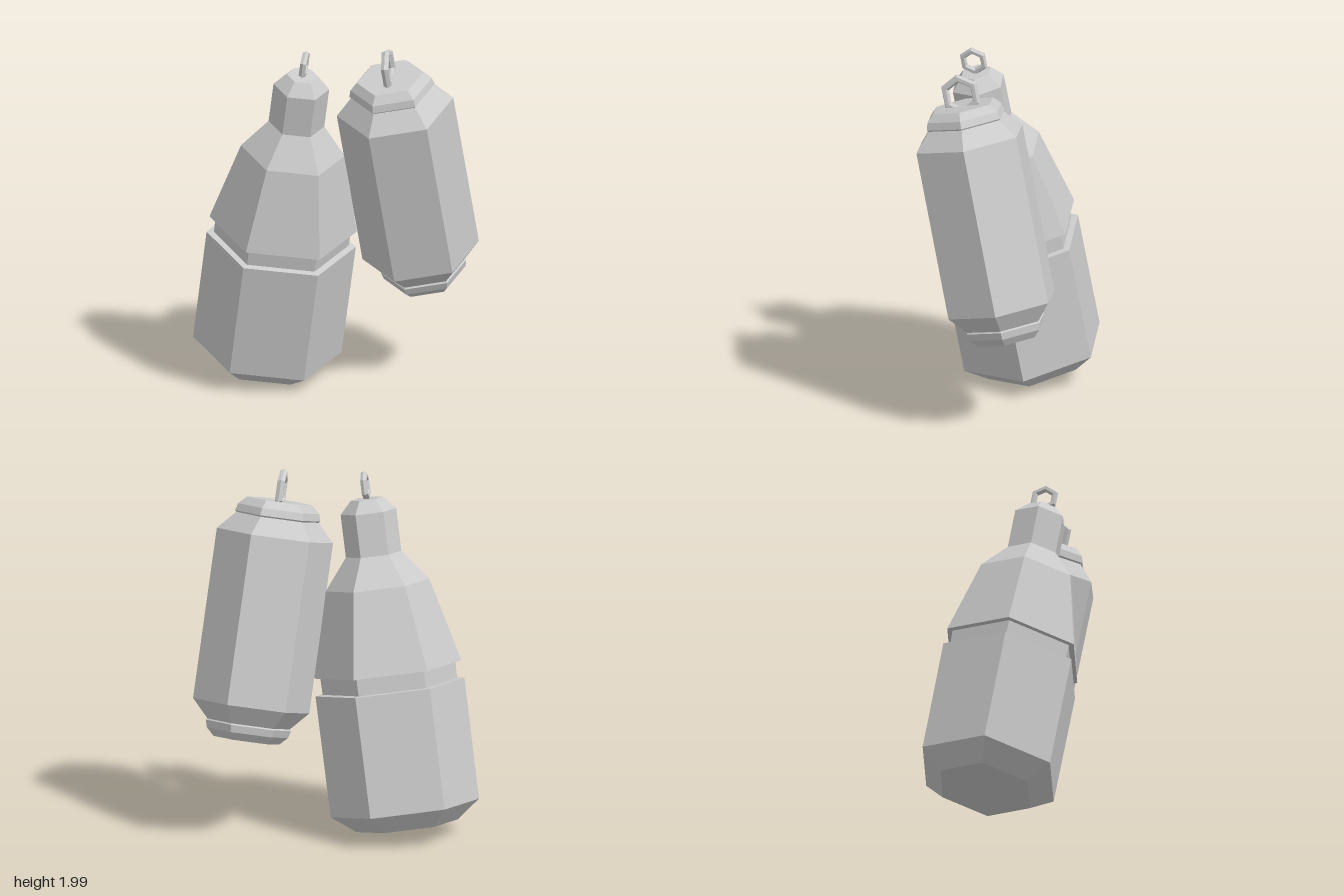
import * as THREE from 'three';

const material = new THREE.MeshStandardMaterial({ color: 0xcccccc, flatShading: true });
const UP = new THREE.Vector3(0, 1, 0);

function addMesh(group, name, geometry) {
  const mesh = new THREE.Mesh(geometry, material);
  mesh.name = name;
  group.add(mesh);
  return mesh;
}

// Six-sided turned part; profile is [radius, height] from bottom to top
function turned(profile, twist) {
  const points = profile.map(([r, y]) => new THREE.Vector2(r, y));
  return new THREE.LatheGeometry(points, 6, twist, Math.PI * 2);
}

// Hexagonal hanging loop standing on the part's axis
function loop(radius, tube, height) {
  return new THREE.TorusGeometry(radius, tube, 6, 6)
    .rotateZ(Math.PI / 6)
    .rotateY(0.94)
    .translate(0, height, 0);
}

// Group placed at a base point with its y axis along the given direction
function tilted(name, base, axis) {
  const group = new THREE.Group();
  group.name = name;
  group.position.set(...base);
  group.quaternion.setFromUnitVectors(UP, new THREE.Vector3(...axis).normalize());
  return group;
}

export function createModel() {
  const model = new THREE.Group();
  model.name = 'hangingBottleAndCan';

  // Bottle: lower body, recessed band, flared shoulder and neck
  const bottle = tilted('bottle', [-0.32, 0.163, -0.233], [0.025, 0.979, 0.199]);
  addMesh(bottle, 'bottleBody', turned([
    [0, -0.098], [0.28, -0.098], [0.408, 0], [0.41, 0.668],
    [0.37, 0.672], [0.372, 0.766], [0.405, 0.766], [0.285, 1.233],
    [0.153, 1.404], [0.153, 1.64], [0.088, 1.71], [0, 1.71],
  ], 0.05));
  addMesh(bottle, 'bottleLoop', loop(0.064, 0.019, 1.78));
  model.add(bottle);

  // Can: straight body with the same stepped rim at both ends
  const can = tilted('can', [0.397, 0.736, 0.203], [-0.227, 0.967, 0.116]);
  const length = 0.94;
  const rim = [[0.322, 0], [0.228, 0.1], [0.236, 0.108], [0.225, 0.148], [0.182, 0.19], [0, 0.19]];
  const lower = rim.map(([r, h]) => [r, -h]).reverse();
  const upper = rim.map(([r, h]) => [r, length + h]);
  addMesh(can, 'canBody', turned([...lower, ...upper], 0.087));
  addMesh(can, 'canLoop', loop(0.095, 0.023, 1.19));
  model.add(can);

  return model;
}
